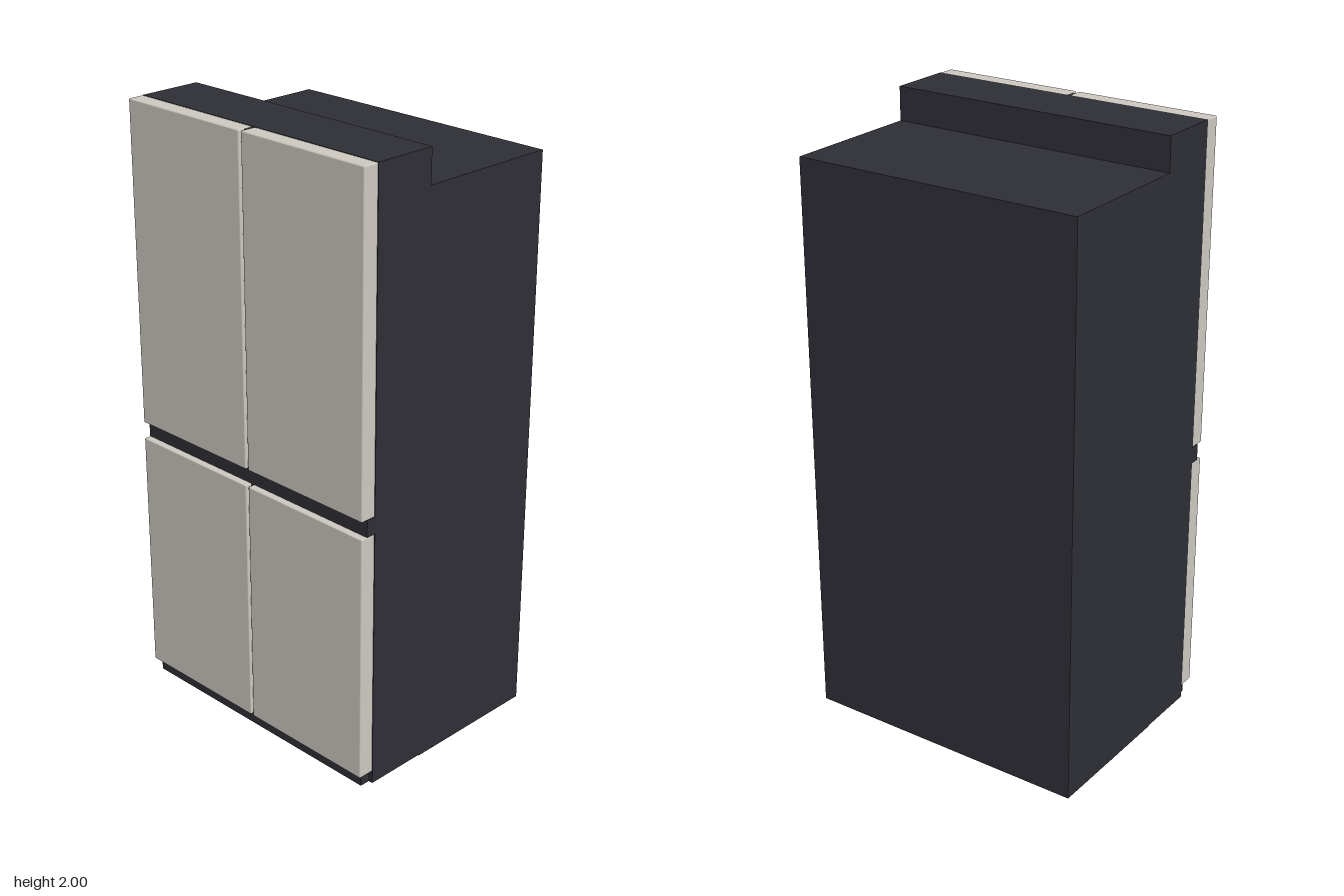
import * as THREE from 'three';
import { RoundedBoxGeometry } from 'three/addons/geometries/RoundedBoxGeometry.js';

export function createModel() {
  const model = new THREE.Group();
  model.name = 'refrigerator';
  const casing = new THREE.MeshStandardMaterial({ name: 'charcoal casing', color: 0x2d2d35 });
  const panel = new THREE.MeshStandardMaterial({ name: 'warm grey door', color: 0xcbc7bf });

  // Box given by its limits on each axis, with optional softened edges
  function box(name, material, [x0, x1], [y0, y1], [z0, z1], radius = 0) {
    const size = [x1 - x0, y1 - y0, z1 - z0];
    const geometry = radius
      ? new RoundedBoxGeometry(...size, 2, radius)
      : new THREE.BoxGeometry(...size);
    const mesh = new THREE.Mesh(geometry, material);
    mesh.name = name;
    mesh.position.set((x0 + x1) / 2, (y0 + y1) / 2, (z0 + z1) / 2);
    model.add(mesh);
  }

  const W = 0.49;
  const back = 0.32, front = 0.375, recess = 0.352;

  // Cabinet and the taller section behind the doors
  box('cabinet', casing, [-W, W], [0, 1.89], [-0.375, 0.108]);
  box('doorSurround', casing, [-W, W], [0.003, 2], [0.108, back]);

  // Recessed plinth, handle channel and centre seal
  box('plinth', casing, [-0.475, 0.475], [0.003, 0.047], [back, 0.355]);
  box('handleChannel', casing, [-W, W], [0.88, 0.936], [back, recess]);
  box('centreSeal', casing, [-0.005, 0.005], [0.047, 1.998], [back, recess]);

  // Two pairs of doors
  for (const [level, y] of [['lower', [0.047, 0.88]], ['upper', [0.936, 2]]]) {
    box(level + 'RightDoor', panel, [-W, -0.005], y, [back, front], 0.004);
    box(level + 'LeftDoor', panel, [0.005, W], y, [back, front], 0.004);
  }
  return model;
}
